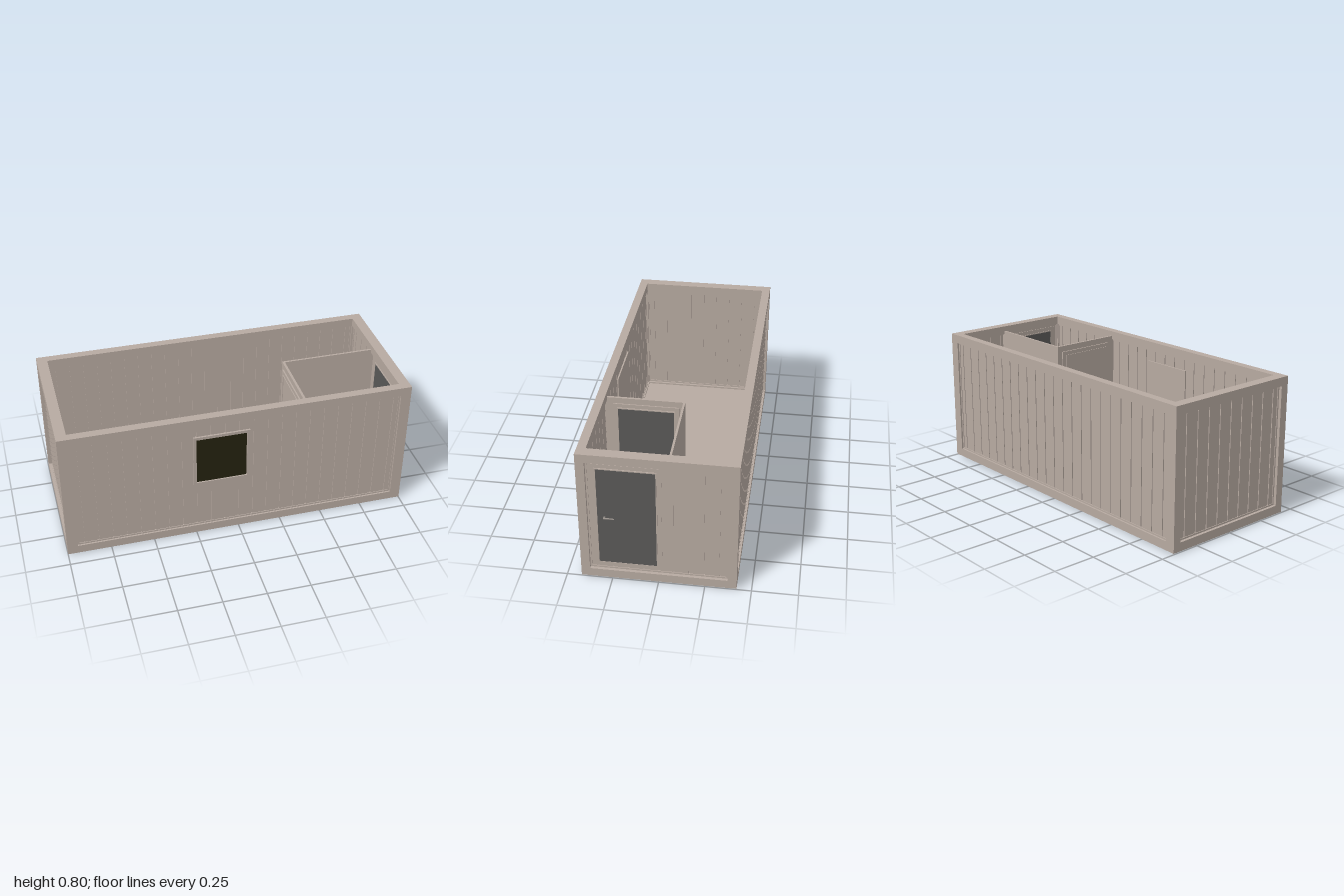
import * as THREE from 'three';

const mat = (name, color) => {
  const m = new THREE.MeshStandardMaterial({ color });
  m.name = name;
  return m;
};

export function createModel() {
  const root = new THREE.Group();
  root.name = 'cabin';
  const wall = mat('wall taupe', 0xb7aaa1);
  const doorGrey = mat('door grey', 0x5a5958);
  const glass = mat('dark glass', 0x24220f);
  const metal = mat('handle metal', 0x99928c);

  // Box given by its minimum and maximum corners
  const box = (parent, name, material, x0, x1, y0, y1, z0, z1) => {
    const mesh = new THREE.Mesh(new THREE.BoxGeometry(x1 - x0, y1 - y0, z1 - z0), material);
    mesh.position.set((x0 + x1) / 2, (y0 + y1) / 2, (z0 + z1) / 2);
    mesh.name = name;
    parent.add(mesh);
    return mesh;
  };
  const group = (parent, name) => {
    const g = new THREE.Group();
    g.name = name;
    parent.add(g);
    return g;
  };

  const X = 1, Z = 0.42, Y0 = 0.005, Y1 = 0.8;   // outer size
  const PX = 0.06, PZ = 0.048, BY = 0.05;        // post and beam thickness

  // Structural frame: corner posts and edge beams
  const frame = group(root, 'frame');
  for (const sx of [-1, 1]) for (const sz of [-1, 1]) {
    const post = box(frame, 'cornerPost', wall, -PX / 2, PX / 2, Y0 + BY, Y1 - BY, -PZ / 2, PZ / 2);
    post.position.x = sx * (X - PX / 2);
    post.position.z = sz * (Z - PZ / 2);
  }
  for (const y of [Y0, Y1 - BY]) for (const s of [-1, 1]) {
    const long = box(frame, 'longBeam', wall, -X, X, y, y + BY, -PZ / 2, PZ / 2);
    long.position.z = s * (Z - PZ / 2);
    const short = box(frame, 'shortBeam', wall, -PX / 2, PX / 2, y, y + BY, -Z + PZ, Z - PZ);
    short.position.x = s * (X - PX / 2);
  }
  box(root, 'floor', wall, -X + PX, X - PX, 0.008, 0.045, -Z + PZ, Z - PZ);

  // Wall built along local x, facing local +z: core, grooved planks on both sides, trim lip
  const PITCH = 0.0818, GAP = 0.006;
  const makeWall = (name, half) => {
    const g = group(root, name);
    const y0 = 0.055, y1 = 0.75;
    box(g, 'core', wall, -half, half, y0, y1, -0.006, 0.006);
    const n = Math.floor(half / PITCH);
    const cuts = [-half];
    for (let i = -n; i <= n; i++) cuts.push(i * PITCH);
    cuts.push(half);
    for (let i = 0; i < cuts.length - 1; i++) {
      const a = cuts[i] + GAP / 2, b = cuts[i + 1] - GAP / 2;
      if (b - a > 0.005) box(g, 'plank', wall, a, b, y0, y1, -0.011, 0.011);
    }
    const t = 0.009;
    for (const s of [-1, 1]) {
      box(g, 'sideTrim', wall, s * (half - t / 2) - t / 2, s * (half - t / 2) + t / 2, y0, y1, -0.015, 0.015);
    }
    box(g, 'bottomTrim', wall, -half + t, half - t, y0, y0 + t, -0.015, 0.015);
    box(g, 'topTrim', wall, -half + t, half - t, y1 - t, y1, -0.015, 0.015);
    return g;
  };
  makeWall('frontWall', X - PX).position.z = 0.395;
  makeWall('backWall', X - PX).position.z = -0.395;
  for (const s of [-1, 1]) {
    const w = makeWall(s > 0 ? 'leftEndWall' : 'rightEndWall', Z - PZ);
    w.rotation.y = Math.PI / 2;
    w.position.x = s * 0.968;
  }

  // Window: solid body, raised surround and glass plate
  const win = group(root, 'window');
  box(win, 'windowBody', wall, -0.262, 0.062, 0.347, 0.677, 0.376, 0.408);
  for (const [a, b, c, d] of [
    [-0.262, -0.245, 0.347, 0.677], [0.045, 0.062, 0.347, 0.677],
    [-0.245, 0.045, 0.347, 0.364], [-0.245, 0.045, 0.66, 0.677],
  ]) box(win, 'windowSurround', wall, a, b, c, d, 0.408, 0.417);
  box(win, 'windowPane', glass, -0.243, 0.043, 0.366, 0.658, 0.407, 0.411);

  // Door facing +x, with casing, leaf plates, rim and lever handle
  const makeDoor = (name, x, zc, bothSides) => {
    const g = group(root, name);
    g.position.set(x, 0, zc);
    box(g, 'casing', wall, -0.016, 0.012, 0.072, 0.735, -0.184, 0.184);
    const rim = (x0, x1) => {
      for (const s of [-1, 1]) {
        box(g, 'rimSide', wall, x0, x1, 0.095, 0.712, s * 0.158 - 0.003, s * 0.158 + 0.003);
      }
      box(g, 'rimBottom', wall, x0, x1, 0.095, 0.1, -0.155, 0.155);
      box(g, 'rimTop', wall, x0, x1, 0.706, 0.712, -0.155, 0.155);
    };
    rim(0.012, 0.018);
    rim(-0.02, -0.016);
    box(g, 'leaf', doorGrey, 0.011, 0.016, 0.1, 0.706, -0.155, 0.155);
    if (bothSides) box(g, 'innerLeaf', doorGrey, -0.019, -0.015, 0.1, 0.706, -0.155, 0.155);
    // Lever: short spindle with a tapering grip
    const spindle = new THREE.Mesh(new THREE.CylinderGeometry(0.005, 0.005, 0.014, 12), metal);
    spindle.rotation.z = Math.PI / 2;
    spindle.position.set(0.022, 0.402, 0.117);
    spindle.name = 'handleSpindle';
    const lever = new THREE.Mesh(new THREE.CylinderGeometry(0.005, 0.003, 0.058, 12), metal);
    lever.rotation.x = Math.PI / 2;
    lever.position.set(0.027, 0.401, 0.094);
    lever.name = 'handleLever';
    g.add(spindle, lever);
    return g;
  };
  makeDoor('entranceDoor', 0.969, 0.165, true);

  // Inner room partition and its door
  const part = group(root, 'partition');
  box(part, 'doorPartition', wall, 0.39, 0.404, 0, 0.77, -0.062, 0.384);
  box(part, 'longPartition', wall, 0.404, 0.96, 0, 0.77, -0.062, -0.05);
  makeDoor('innerDoor', 0.398, 0.155, false);

  return root;
}
